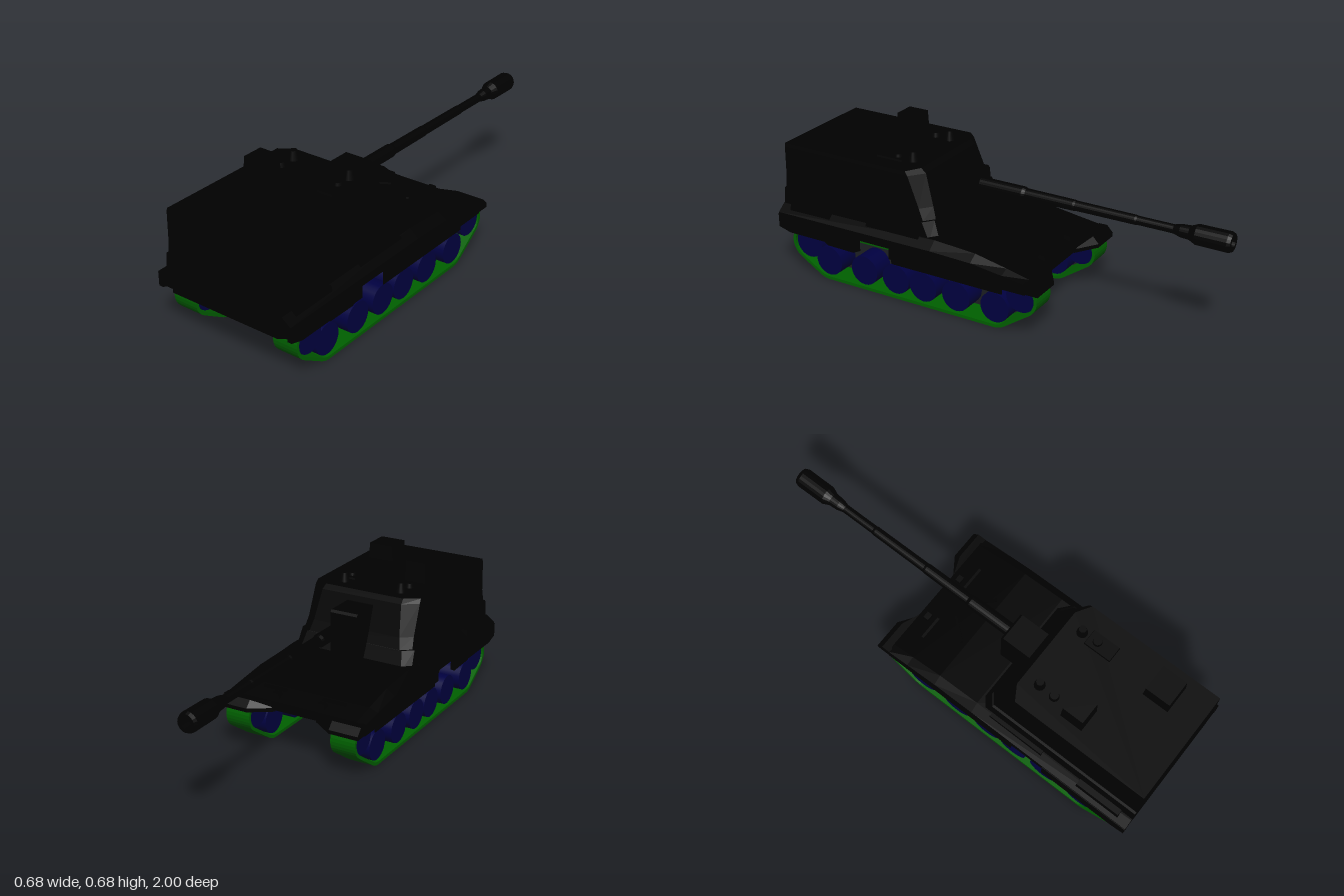
import * as THREE from 'three';

const flat = (name, color) => {
  const material = new THREE.MeshStandardMaterial({ color });
  material.name = name;
  return material;
};
const paint = flat('black paint', 0x000000);
const wheelBlue = flat('wheel blue', 0x000040);
const trackGreen = flat('track green', 0x006000);

// Closed, faceted solid through a series of convex rings of equal length
function loft(rings) {
  const tris = [];
  const n = rings[0].length;
  for (let r = 0; r < rings.length - 1; r++) {
    for (let i = 0; i < n; i++) {
      const j = (i + 1) % n;
      const a = rings[r][i], b = rings[r][j], c = rings[r + 1][j], d = rings[r + 1][i];
      tris.push([a, b, c], [a, c, d]);
    }
  }
  const first = rings[0], last = rings[rings.length - 1];
  for (let i = 1; i < n - 1; i++) {
    tris.push([first[0], first[i + 1], first[i]], [last[0], last[i], last[i + 1]]);
  }
  // Turn the solid the right way out if its signed volume is negative
  const v = p => new THREE.Vector3(...p);
  const volume = tris.reduce((s, [a, b, c]) => s + v(a).dot(v(b).cross(v(c))), 0);
  if (volume < 0) tris.forEach(t => t.reverse());
  const geo = new THREE.BufferGeometry();
  geo.setAttribute('position', new THREE.Float32BufferAttribute(tris.flat(2), 3));
  geo.computeVertexNormals();
  return geo;
}

// Side profile of [z, y] points, extruded from x0 to x1
function sideExtrude(points, x0, x1, hole) {
  const shape = new THREE.Shape(points.map(p => new THREE.Vector2(...p)));
  if (hole) shape.holes.push(new THREE.Path(hole.map(p => new THREE.Vector2(...p))));
  const geo = new THREE.ExtrudeGeometry(shape, { depth: x1 - x0, bevelEnabled: false });
  return geo.rotateY(-Math.PI / 2).translate(x1, 0, 0);
}

// Box given by its limits, with the top drawn in by a taper
function box(x0, x1, y0, y1, z0, z1, taper = 0) {
  const ring = (y, t) => [[x0 + t, y, z0 + t], [x1 - t, y, z0 + t], [x1 - t, y, z1 - t], [x0 + t, y, z1 - t]];
  return loft([ring(y0, 0), ring(y1, taper)]);
}

// Belt around the end wheels: arcs of [z, y, radius, start degree, end degree]
function belt(inset) {
  const arcs = [[0.86, 0.15, 0.086, -59, 90], [-0.222, 0.165, 0.08, 90, 237],
    [-0.097, 0.088, 0.088, 237, 270], [0.755, 0.088, 0.088, 270, 301]];
  return arcs.flatMap(([z, y, r, from, to]) => {
    const steps = Math.ceil((to - from) / 12);
    return Array.from({ length: steps + 1 }, (_, i) => {
      const a = THREE.MathUtils.degToRad(from + (to - from) * i / steps);
      return [z + (r - inset) * Math.cos(a), y + (r - inset) * Math.sin(a)];
    });
  });
}

export function createModel() {
  const model = new THREE.Group();
  model.name = 'trackedGun';
  const add = (name, geo, mat = paint) => {
    const mesh = new THREE.Mesh(geo, mat);
    mesh.name = name;
    model.add(mesh);
    return mesh;
  };

  // Upper hull: cross-sections along z with bevelled shoulders
  const stations = [[1, 0.28, 0.31], [0.2, 0.285, 0.32], [0, 0.28, 0.308], [-0.15, 0.262, 0.278], [-0.257, 0.248, 0.254]];
  add('upperHull', loft(stations.map(([z, edge, top]) => [
    [-0.335, 0.245, z], [0.335, 0.245, z], [0.335, edge, z],
    [0.295, top, z], [-0.295, top, z], [-0.335, edge, z],
  ])));

  // Lower hull, with a gap between its two halves
  add('frontBelly', sideExtrude([[0.41, 0.25], [-0.257, 0.247], [-0.257, 0.215], [-0.14, 0.175], [0.41, 0.175]], -0.198, 0.198));
  add('middleBelly', box(-0.198, 0.198, 0.238, 0.25, 0.4, 0.6));
  add('rearBelly', sideExtrude([[0.999, 0.3], [0.58, 0.3], [0.58, 0.215], [0.61, 0.175], [0.88, 0.175], [0.88, 0.3]], -0.198, 0.198));
  add('tailPlate', sideExtrude([[0.999, 0.3], [0.87, 0.3], [0.87, 0.176], [0.95, 0.177], [0.999, 0.205]], -0.265, 0.265));
  for (const [z0, z1] of [[-0.14, 0.41], [0.6, 0.8]]) {
    add('bellyKeel', loft([z0, z1].map(z => [
      [-0.14, 0.178, z], [-0.11, 0.162, z], [0.11, 0.162, z], [0.14, 0.178, z],
    ])));
  }

  // Superstructure: [y, half width, front z, corner setback, corner inset]
  const levels = [[0.3, 0.29, 0.2, 0.03, 0.035], [0.38, 0.283, 0.235, 0.035, 0.045], [0.381, 0.272, 0.236, 0.035, 0.045],
    [0.43, 0.265, 0.255, 0.04, 0.05], [0.565, 0.262, 0.3, 0.05, 0.065], [0.583, 0.259, 0.325, 0.04, 0.065]];
  add('superstructure', loft(levels.map(([y, w, z, back, inset]) => [
    [-w, y, 1], [w, y, 1], [w, y, z + back], [w - inset, y, z], [-w + inset, y, z], [-w, y, z + back],
  ])));
  add('mantlet', sideExtrude([[0.36, 0.3], [0.145, 0.3], [0.145, 0.53], [0.155, 0.54], [0.29, 0.54], [0.36, 0.575]], -0.065, 0.065));

  // Gun barrel and muzzle, from the mantlet forward
  const gunProfile = [[0, 0.2], [0.03, 0.2], [0.03, -0.06], [0.025, -0.075], [0.024, -0.3], [0.022, -0.31], [0.021, -0.58],
    [0.019, -0.59], [0.019, -0.75], [0.027, -0.78], [0.03, -0.82], [0.043, -0.85], [0.044, -0.985], [0.038, -1],
    [0.022, -1], [0.022, -0.95], [0, -0.95]];
  const gun = new THREE.LatheGeometry(gunProfile.map(([r, z]) => new THREE.Vector2(r, -z)), 20);
  add('gunBarrel', gun.toNonIndexed().rotateX(-Math.PI / 2).translate(0, 0.48, 0)).geometry.computeVertexNormals();

  // Roof fittings
  add('rightCupola', box(-0.192, -0.087, 0.575, 0.678, 0.54, 0.645, 0.004));
  add('leftCupola', box(0.082, 0.21, 0.575, 0.655, 0.745, 0.868, 0.004));
  add('roofHatch', box(0.105, 0.185, 0.575, 0.59, 0.43, 0.565, 0.005));
  for (const s of [-1, 1]) {
    add('periscope', new THREE.CylinderGeometry(0.016, 0.026, 0.05, 12).translate(s * 0.142, 0.6, 0.4));
    add('roofVent', new THREE.CylinderGeometry(0.018, 0.024, 0.03, 12).translate(s * 0.145, 0.588, 0.475));
  }

  // Wheel centres [z, y]; the last two are the end wheels
  const wheels = [[0.755, 0.088], [0.565, 0.088], [0.4, 0.088], [0.258, 0.088], [0.093, 0.088], [-0.097, 0.088],
    [0.86, 0.15], [-0.222, 0.168]];

  for (const s of [-1, 1]) {
    const span = (a, b) => (s > 0 ? [a, b] : [-b, -a]);

    // Running gear
    add('track', sideExtrude(belt(0), ...span(0.198, 0.314), belt(0.014)), trackGreen);
    wheels.forEach(([z, y], i) => {
      const wheel = new THREE.CylinderGeometry(0.068, 0.068, 0.1, 24).rotateZ(Math.PI / 2);
      add(i < 6 ? 'roadWheel' : 'endWheel', wheel.translate(s * 0.256, y, z), wheelBlue);
    });

    // Thin panels hanging over the upper run of the track, open above the second wheel
    add('frontPanel', sideExtrude([[0.41, 0.26], [0.41, 0.165], [-0.14, 0.165], [-0.14, 0.25]], ...span(0.3145, 0.318)));
    add('rearPanel', sideExtrude([[0.99, 0.26], [0.575, 0.26], [0.575, 0.185], [0.61, 0.168], [0.75, 0.17], [0.8, 0.21], [0.99, 0.215]], ...span(0.3145, 0.318)));

    // Side skirts
    add('frontSkirt', sideExtrude([[0.41, 0.26], [0.41, 0.195], [-0.257, 0.2], [-0.257, 0.247], [-0.1, 0.26]], ...span(0.317, 0.335)));
    add('rearSkirt', sideExtrude([[1, 0.275], [0.575, 0.275], [0.575, 0.195], [0.94, 0.195], [1, 0.212]], ...span(0.317, 0.338)));

    // Plate closing the guard above the tail of the track
    add('tailGuard', box(...span(0.26, 0.32), 0.222, 0.25, 0.95, 0.999));

    // Front mudguard, cut back toward the middle
    const guard = (y, tip) => [[s * 0.1, y, -0.25], [s * 0.2, y, tip], [s * 0.335, y, tip], [s * 0.335, y, -0.25]];
    add('frontMudguard', loft([guard(0.205, -0.318), guard(0.222, -0.318), guard(0.252, -0.29)]));

    // Stowage on the track guards
    add('rearStowageBox', box(...span(0.27, 0.32), 0.27, 0.322, 0.73, 0.95, 0.005));
    add('frontStowageBox', box(...span(0.27, 0.312), 0.27, 0.32, 0.27, 0.55, 0.006));

    // Deck fittings
    const rib = new THREE.BoxGeometry(0.012, 0.014, 0.13).rotateY(s * 0.7);
    add('deckRib', rib.rotateX(-0.19).translate(s * 0.08, 0.296, -0.07));
    add('headlamp', box(...span(0.09, 0.13), 0.245, 0.28, -0.235, -0.2, 0.005));
    add('deckBeam', box(...span(0.09, 0.2), 0.255, 0.28, -0.18, -0.168));
  }

  return model;
}
